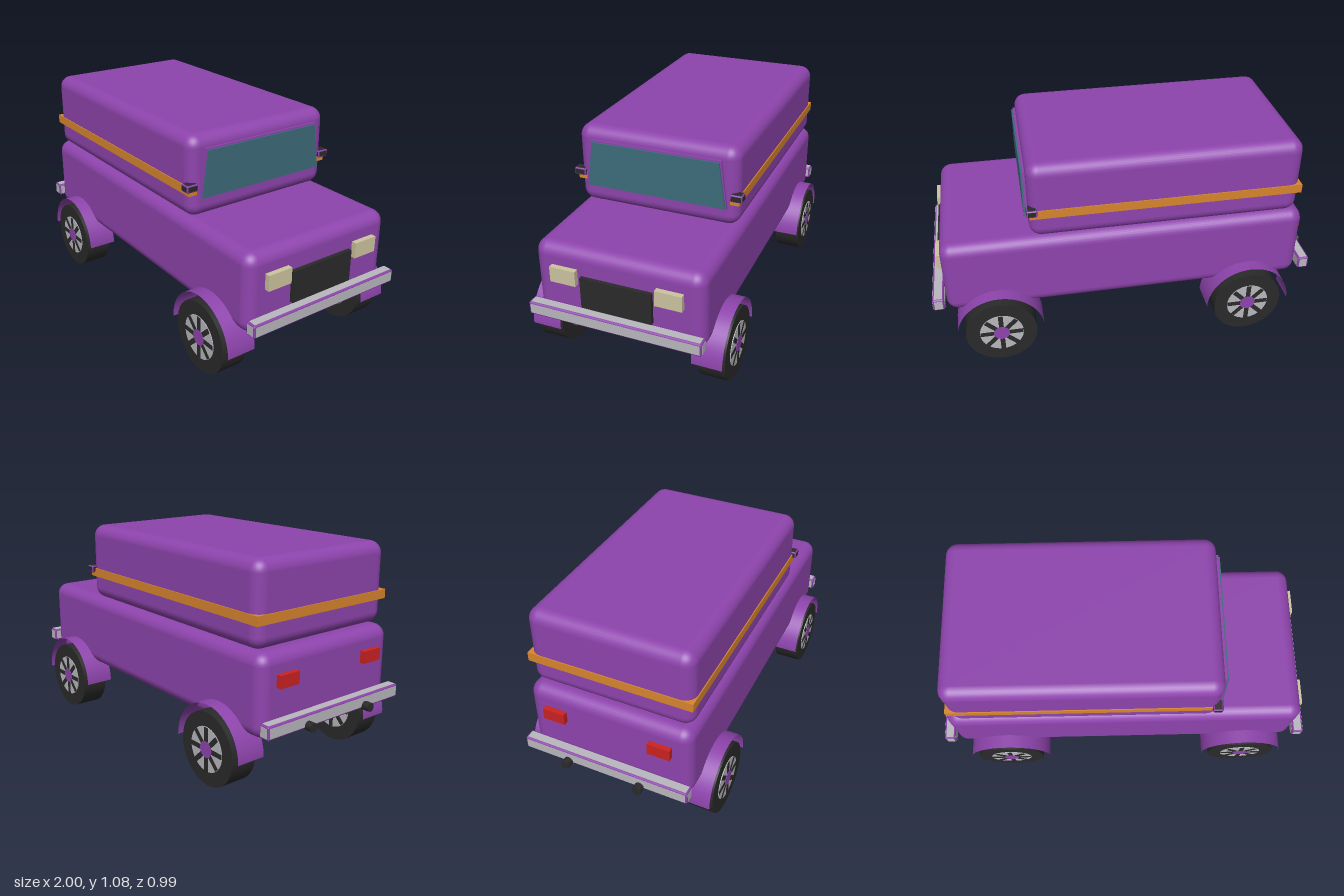
import * as THREE from 'three';
import { RoundedBoxGeometry } from 'three/addons/geometries/RoundedBoxGeometry.js';

const material = (name, color, side = THREE.FrontSide) => {
  const m = new THREE.MeshStandardMaterial({ color, side });
  m.name = name;
  return m;
};

export function createModel() {
  const paint = material('purplePaint', 0x8e44ad, THREE.DoubleSide);
  const black = material('black', 0x2a2a2a);
  const metal = material('lightMetal', 0xb8b8be);
  const orange = material('orangeTrim', 0xd8862e);
  const glass = material('tealGlass', 0x3d6c7b);
  const cream = material('headlightCream', 0xcdc49f);
  const red = material('tailRed', 0xcc2222);

  const model = new THREE.Group();
  model.name = 'offRoader';

  const add = (name, geometry, mat, x = 0, y = 0, z = 0, parent = model) => {
    const mesh = new THREE.Mesh(geometry, mat);
    mesh.name = name;
    mesh.position.set(x, y, z);
    parent.add(mesh);
    return mesh;
  };
  // Boxes given by their limits along each axis
  const spanBox = (name, mat, [x0, x1], [y0, y1], [z0, z1], radius = 0) => {
    const size = [x1 - x0, y1 - y0, z1 - z0];
    const geometry = radius ? new RoundedBoxGeometry(...size, 4, radius) : new THREE.BoxGeometry(...size);
    return add(name, geometry, mat, (x0 + x1) / 2, (y0 + y1) / 2, (z0 + z1) / 2);
  };
  // Painted bevelled block with a coloured plate on every face
  const edgedBlock = (name, mat, size, position, edge) => {
    const group = new THREE.Group();
    group.name = name;
    group.position.set(...position);
    add('edges', new RoundedBoxGeometry(...size, 1, edge), paint, 0, 0, 0, group);
    for (let axis = 0; axis < 3; axis++) {
      const plate = size.map((s, i) => (i === axis ? s + 0.002 : s - 2 * edge));
      add('facePlate', new THREE.BoxGeometry(...plate), mat, 0, 0, 0, group);
    }
    model.add(group);
  };

  // Body shells and belt line
  spanBox('lowerBody', paint, [-0.9, 0.93], [0.285, 0.68], [-0.42, 0.42], 0.06);
  spanBox('cabin', paint, [-0.86, 0.49], [0.68, 1.08], [-0.41, 0.41], 0.06);
  spanBox('beltStripe', orange, [-0.865, 0.486], [0.8, 0.845], [-0.415, 0.415]);

  // Windscreen: a trapezoid frame with glass set on it
  const trapezoid = (bottom, top, y0, y1, depth) => {
    const shape = new THREE.Shape([
      new THREE.Vector2(-bottom, y0), new THREE.Vector2(bottom, y0),
      new THREE.Vector2(top, y1), new THREE.Vector2(-top, y1),
    ]);
    return new THREE.ExtrudeGeometry(shape, { depth, bevelEnabled: false }).rotateY(Math.PI / 2);
  };
  add('windscreenFrame', trapezoid(0.36, 0.33, 0.78, 1.02, 0.022), paint, 0.48);
  add('windscreenGlass', trapezoid(0.354, 0.322, 0.784, 1.012, 0.008), glass, 0.502);

  // Grille, bumpers
  spanBox('grille', black, [0.91, 0.95], [0.39, 0.55], [-0.176, 0.176]);
  edgedBlock('frontBumper', metal, [0.058, 0.066, 0.86], [0.966, 0.353, 0], 0.009);
  edgedBlock('rearBumper', metal, [0.058, 0.066, 0.86], [-0.934, 0.353, 0], 0.009);

  // Paired lights, mirrors and exhausts
  for (const s of [-1, 1]) {
    const span = (a, b) => (s > 0 ? [a, b] : [-b, -a]);
    spanBox('headlight', cream, [0.91, 0.956], [0.502, 0.58], span(0.195, 0.325));
    spanBox('tailLight', red, [-0.926, -0.88], [0.522, 0.582], span(0.215, 0.328));
    edgedBlock('mirror', black, [0.05, 0.036, 0.06], [0.474, 0.84, s * 0.402], 0.006);
    const pipe = new THREE.CylinderGeometry(0.022, 0.022, 0.16, 16).rotateZ(Math.PI / 2);
    add('exhaustPipe', pipe, black, -0.92, 0.333, s * 0.19);
  }

  // Wheels under thin half-round fenders
  const disc = (radius, width, segments = 40) =>
    new THREE.CylinderGeometry(radius, radius, width, segments).rotateX(Math.PI / 2);
  const fender = new THREE.CylinderGeometry(0.219, 0.219, 0.15, 32, 1, true, 0, Math.PI)
    .rotateX(Math.PI / 2).rotateZ(Math.PI / 2);
  for (const x of [-0.622, 0.673]) {
    for (const s of [-1, 1]) {
      const wheel = new THREE.Group();
      wheel.name = 'wheel';
      wheel.position.set(x, 0.18, s * 0.421);
      add('tyre', disc(0.18, 0.136), black, 0, 0, 0, wheel);
      add('rim', disc(0.11, 0.143), metal, 0, 0, 0, wheel);
      for (let i = 0; i < 4; i++) {
        const spoke = add('spoke', new THREE.BoxGeometry(0.216, 0.024, 0.147), black, 0, 0, 0, wheel);
        spoke.rotation.z = (i * Math.PI) / 4;
      }
      add('hub', disc(0.04, 0.151, 24), paint, 0, 0, 0, wheel);
      model.add(wheel);
      add('fender', fender, paint, x, 0.18, s * 0.414);
    }
  }
  return model;
}
